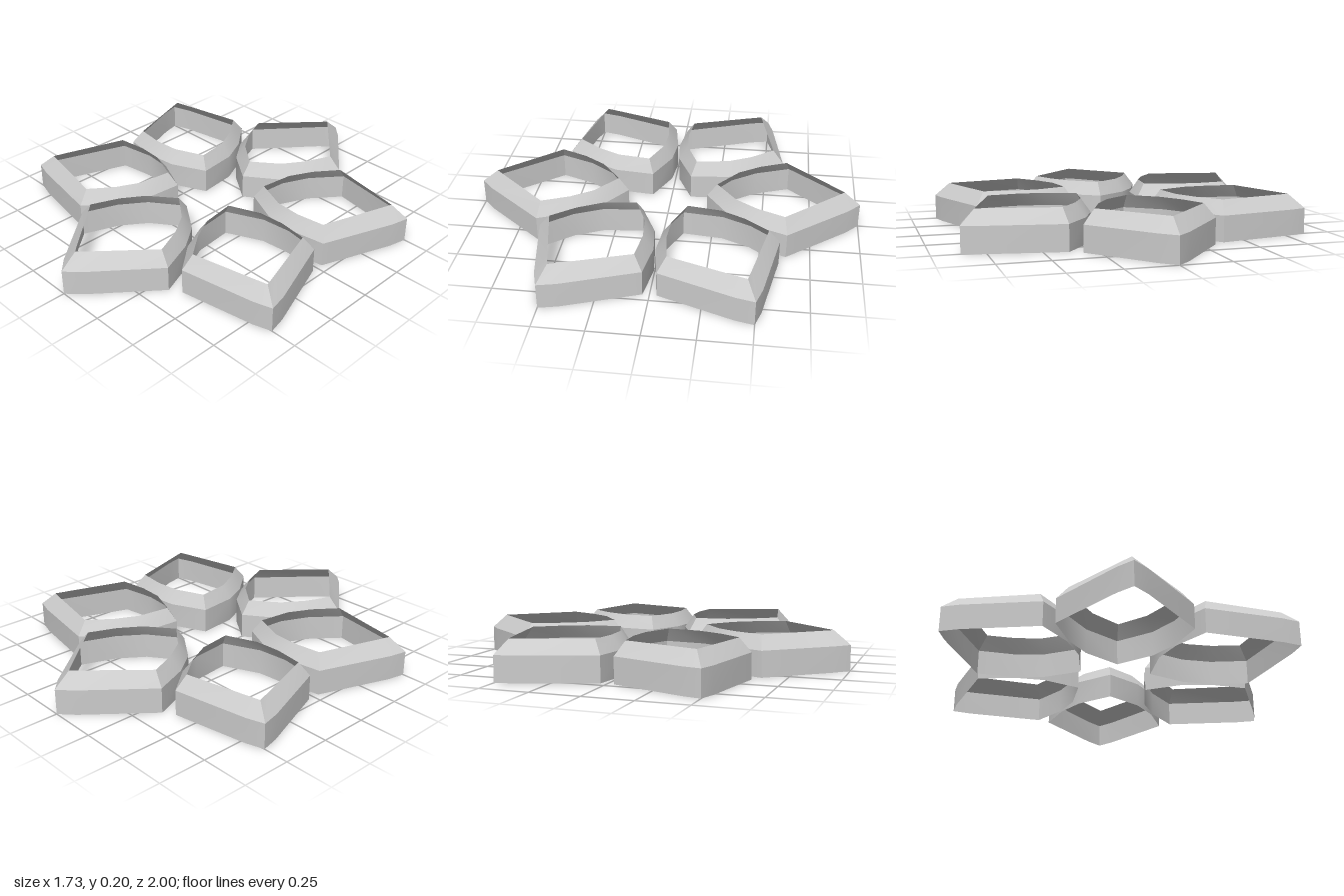
import * as THREE from 'three';
import { toCreasedNormals } from 'three/addons/utils/BufferGeometryUtils.js';

// Half outlines of one petal, [sideways, outwards], from outer tip to inner tip
const OUTER = [[0, 1], [0.07, 0.935], [0.325, 0.63], [0.256, 0.453], [0.165, 0.326], [0, 0.208]];
const INNER = [[0, 0.915], [0.05, 0.86], [0.268, 0.615], [0.21, 0.477], [0.135, 0.365], [0, 0.26]];
const WALL_TOP = 0.13, RIM_TOP = 0.2;

// Mirror a half outline into a closed loop at height y
function loop(half, y) {
  const other = half.slice(1, -1).reverse().map(([x, z]) => [-x, z]);
  return [...half, ...other].map(([x, z]) => new THREE.Vector3(x, y, z));
}

// Closed band of quads between a lower and an upper loop, facing outwards
function band(low, high) {
  const points = [];
  low.forEach((a, i) => {
    const j = (i + 1) % low.length;
    const b = low[j], c = high[j], d = high[i];
    points.push(a, c, b, a, d, c);
  });
  // Both outlines run from +z towards +x, so reverse the winding to face out
  for (let i = 0; i < points.length; i += 3) {
    [points[i + 1], points[i + 2]] = [points[i + 2], points[i + 1]];
  }
  const geometry = new THREE.BufferGeometry().setFromPoints(points);
  geometry.computeVertexNormals();
  return toCreasedNormals(geometry, 0.6);
}

export function createModel() {
  const model = new THREE.Group();
  model.name = 'flowerCutter';
  const material = new THREE.MeshStandardMaterial({ color: 0xcccccc, side: THREE.DoubleSide });

  // Upright wall and the sloping rim that leans in over it
  const wallGeometry = band(loop(OUTER, 0), loop(OUTER, WALL_TOP));
  const rimGeometry = band(loop(OUTER, WALL_TOP), loop(INNER, RIM_TOP));

  // Six petals around the centre
  for (let i = 0; i < 6; i++) {
    const petal = new THREE.Group();
    petal.name = `petal${i + 1}`;
    const wall = new THREE.Mesh(wallGeometry, material);
    wall.name = 'petalWall';
    const rim = new THREE.Mesh(rimGeometry, material);
    rim.name = 'petalRim';
    petal.add(wall, rim);
    petal.rotation.y = (i * Math.PI) / 3;
    model.add(petal);
  }
  return model;
}
